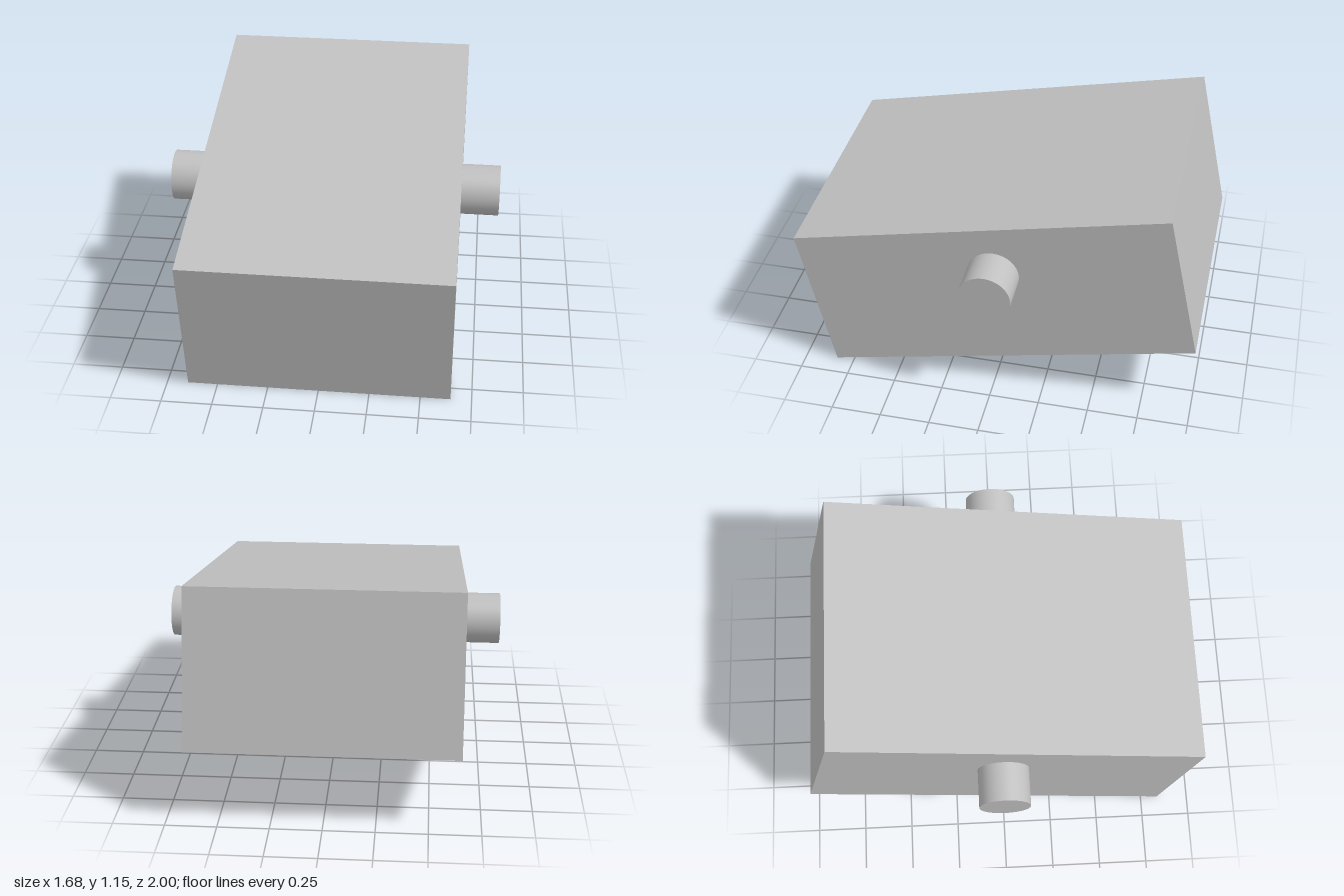
import * as THREE from 'three';

export function createModel() {
  const model = new THREE.Group();
  const grey = new THREE.MeshStandardMaterial({ color: 0xc0c0c0 });
  grey.name = 'light grey';

  // Block tilted nose-down about the x axis
  const block = new THREE.Mesh(new THREE.BoxGeometry(1.295, 0.777, 1.88), grey);
  block.name = 'tiltedBlock';
  block.position.y = 0.577;
  block.rotation.x = THREE.MathUtils.degToRad(12);
  model.add(block);

  // Round pivot pin on each side, its inner end sunk into the block
  const inner = 0.6, outer = 0.84;
  const pinGeometry = new THREE.CylinderGeometry(0.128, 0.128, outer - inner, 64);
  pinGeometry.rotateZ(Math.PI / 2);
  for (const side of [1, -1]) {
    const pin = new THREE.Mesh(pinGeometry, grey);
    pin.name = side > 0 ? 'leftPivotPin' : 'rightPivotPin';
    pin.position.set(side * (inner + outer) / 2, 0.708, -0.002);
    model.add(pin);
  }
  return model;
}
